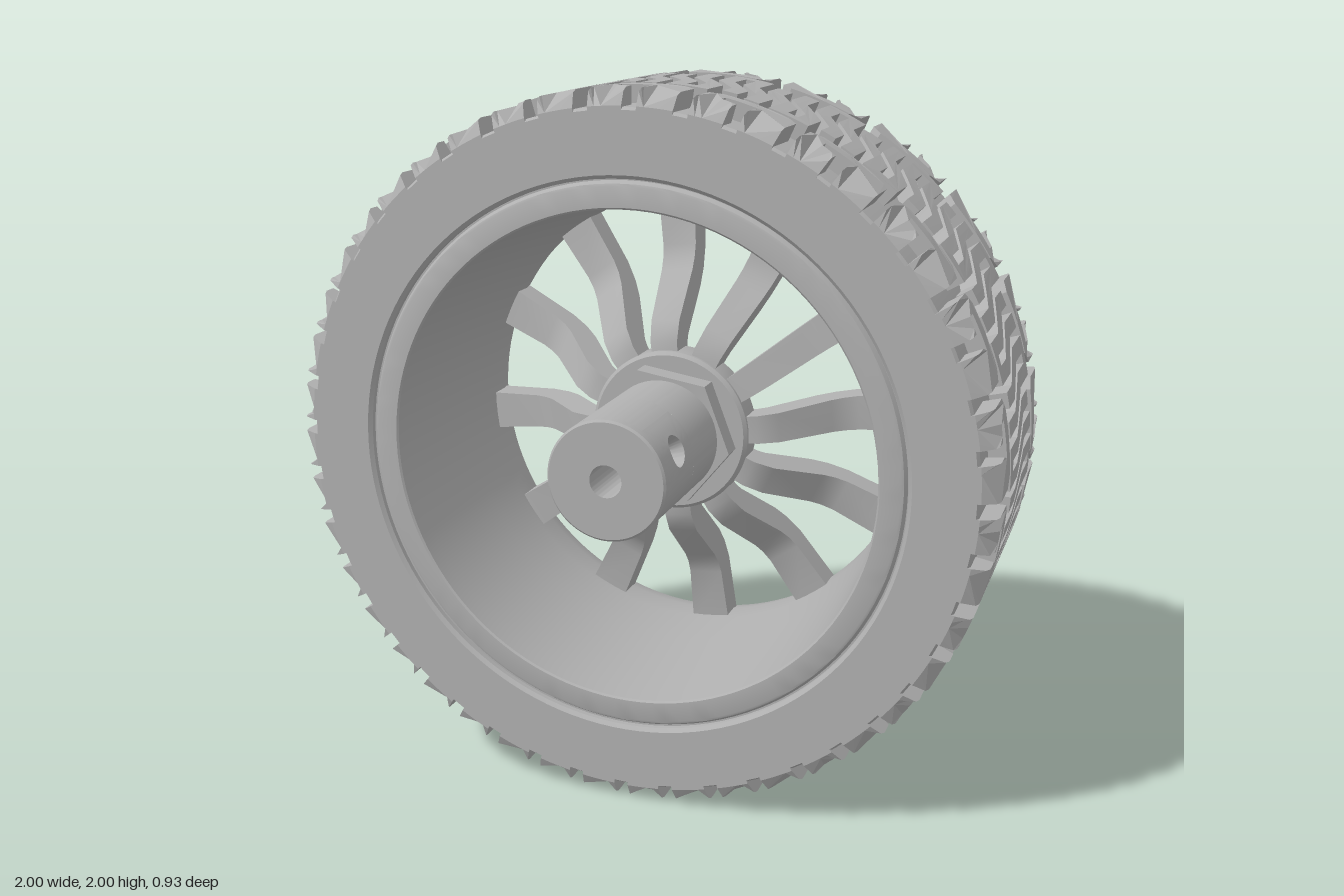
import * as THREE from 'three';
import { mergeGeometries, toCreasedNormals } from 'three/addons/utils/BufferGeometryUtils.js';
import { ParametricGeometry } from 'three/addons/geometries/ParametricGeometry.js';

const PITCHES = 22;
const PITCH = (2 * Math.PI) / PITCHES; // arc length of one tread repeat at radius 1
const MID = -0.07;                     // axial middle of the tyre

// Surface of revolution about z from (radius, z) points
function turned(points, start = 0, length = Math.PI * 2) {
  const geo = new THREE.LatheGeometry(points.map(([r, z]) => new THREE.Vector2(r, z)), 120, start, length);
  geo.rotateX(Math.PI / 2);
  return toCreasedNormals(geo, 0.5);
}

// Outline of a polyline thickened to a constant width with mitred corners
function stroke(path, width) {
  const pts = path.map(([x, y]) => new THREE.Vector2(x, y));
  const left = [], right = [];
  pts.forEach((p, i) => {
    const next = pts[i + 1], prev = pts[i - 1];
    const d1 = (prev ? p.clone().sub(prev) : next.clone().sub(p)).normalize();
    const d2 = (next ? next.clone().sub(p) : d1.clone()).normalize();
    const n1 = new THREE.Vector2(-d1.y, d1.x), n2 = new THREE.Vector2(-d2.y, d2.x);
    const m = n1.clone().add(n2).normalize();
    m.multiplyScalar(width / 2 / Math.max(0.5, m.dot(n1)));
    left.push([p.x + m.x, p.y + m.y]);
    right.unshift([p.x - m.x, p.y - m.y]);
  });
  return [...left, ...right];
}

// Split long outline edges so they can follow the curved tyre
function subdivide(outline, step) {
  const out = [];
  outline.forEach(([x, y], i) => {
    const [x2, y2] = outline[(i + 1) % outline.length];
    const n = Math.max(1, Math.ceil(Math.hypot(x2 - x, y2 - y) / step));
    for (let k = 0; k < n; k++) out.push(new THREE.Vector2(x + (x2 - x) * k / n, y + (y2 - y) * k / n));
  });
  return out;
}

// Tread block: outline in (arc, z), extruded and wrapped round the tyre
function treadBlock(outline) {
  const shape = new THREE.Shape(subdivide(outline, 0.022));
  const geo = new THREE.ExtrudeGeometry(shape, { depth: 1, bevelEnabled: false });
  const pos = geo.attributes.position;
  for (let i = 0; i < pos.count; i++) {
    const a = pos.getX(i), z = pos.getY(i);
    const d = Math.min(0.045, Math.max(0, Math.abs(z - MID) - 0.35));
    const top = 0.955 + Math.sqrt(0.045 * 0.045 - d * d);
    const r = pos.getZ(i) > 0.5 ? top : 0.94;
    pos.setXYZ(i, r * Math.cos(a), r * Math.sin(a), z);
  }
  geo.computeVertexNormals();
  return geo;
}

function treadGeometry() {
  // Four zigzag columns per repeat, joined in pairs as hairpins
  const q = PITCH / 4, w = 0.043;
  const column = (k, lo, hi) => [[k * q, lo], [k * q, 0], [k * q + 0.075, -0.12], [k * q + 0.075, hi]];
  const outlines = [
    stroke([...column(0, 0.108, -0.255).reverse(), ...column(1, 0.108, -0.22)], w),
    stroke([...column(2, 0.125, -0.255), ...column(3, 0.09, -0.255).reverse()], w),
  ];
  // Shoulder hook, repeated mirrored on the far edge
  const hook = [
    [0, 0.325], [0, 0.175], [0.03, 0.15], [0.21, 0.15], [0.243, 0.178], [0.243, 0.325],
    [0.145, 0.325], [0.145, 0.25], [0.19, 0.235], [0.19, 0.2], [0.09, 0.2], [0.103, 0.235], [0.103, 0.325],
  ];
  outlines.push(hook, hook.map(([a, z]) => [0.18 - a, 2 * MID - z]));
  const unit = mergeGeometries(outlines.map(treadBlock));
  const copies = [];
  for (let i = 0; i < PITCHES; i++) copies.push(unit.clone().rotateZ(i * PITCH));
  return mergeGeometries(copies);
}

// Spoke: bent side profile whose width grows towards the rim
function spokeGeometry() {
  const path = [[0.17, -0.1], [0.25, -0.1], [0.29, -0.12], [0.41, -0.25], [0.45, -0.28], [0.5, -0.3], [0.68, -0.315]];
  const shape = new THREE.Shape(stroke(path, 0.09).map(([r, z]) => new THREE.Vector2(r, z)));
  const geo = new THREE.ExtrudeGeometry(shape, { depth: 1, bevelEnabled: false });
  geo.translate(0, 0, -0.5);
  const pos = geo.attributes.position;
  for (let i = 0; i < pos.count; i++) {
    pos.setZ(i, pos.getZ(i) * (0.06 + 0.08 * pos.getX(i)));
  }
  geo.rotateX(Math.PI / 2);
  return toCreasedNormals(geo, 0.6);
}

// Square patch of the boss wall with a round cross hole running inwards
function crossHoleGeometry(radius, angle, zMid, half, hole) {
  const geo = new ParametricGeometry((u, v, target) => {
    const a = u * Math.PI * 2, c = Math.cos(a), s = Math.sin(a);
    const edge = half / Math.max(Math.abs(c), Math.abs(s));
    const t = Math.min(1, v * 2), depth = Math.max(0, v * 2 - 1) * 0.12;
    const k = edge + (hole - edge) * t;
    const theta = angle + k * c / radius, r = radius - depth;
    target.set(r * Math.cos(theta), r * Math.sin(theta), zMid + k * s);
  }, 64, 8);
  return toCreasedNormals(geo, 0.6);
}

export function createModel() {
  const grey = new THREE.MeshStandardMaterial({ color: 0xb0b0b0 });
  grey.name = 'grey';
  const model = new THREE.Group();
  model.name = 'wheel';
  const wheel = new THREE.Group();
  wheel.name = 'wheelAssembly';
  wheel.position.y = 1;
  model.add(wheel);
  const add = (name, geo, parent = wheel) => {
    const mesh = new THREE.Mesh(geo, grey);
    mesh.name = name;
    parent.add(mesh);
    return mesh;
  };

  // Tyre
  add('tyreCarcass', turned([
    [0.775, -0.46], [0.785, -0.465], [0.945, -0.465], [0.952, -0.455], [0.952, 0.315],
    [0.945, 0.325], [0.78, 0.325], [0.77, 0.315], [0.77, -0.455], [0.775, -0.46],
  ]));
  add('tyreTread', treadGeometry());

  // Rim barrel with front lip and flared back
  add('rim', turned([
    [0.78, -0.44], [0.78, 0.3], [0.765, 0.3], [0.757, 0.312], [0.75, 0.315], [0.695, 0.315], [0.69, 0.31],
    [0.688, 0.26], [0.672, -0.1], [0.66, -0.25], [0.66, -0.33], [0.67, -0.38], [0.69, -0.415],
    [0.715, -0.438], [0.735, -0.447], [0.755, -0.447], [0.765, -0.44], [0.78, -0.44],
  ]));

  // Spokes
  const spokes = new THREE.Group();
  spokes.name = 'spokes';
  wheel.add(spokes);
  const spoke = spokeGeometry();
  for (let i = 0; i < 12; i++) {
    add('spoke', spoke, spokes).rotation.z = THREE.MathUtils.degToRad(5 + 30 * i);
  }

  // Hub flange
  add('hubFlange', turned([
    [0.08, -0.16], [0.2, -0.16], [0.225, -0.15], [0.235, -0.13], [0.235, -0.045], [0.225, -0.035], [0.1, -0.035],
  ]));

  // Hexagonal drive nut
  const hex = new THREE.Shape();
  for (let i = 0; i < 6; i++) {
    const a = THREE.MathUtils.degToRad(-9 + 60 * i);
    hex[i ? 'lineTo' : 'moveTo'](0.205 * Math.cos(a), 0.205 * Math.sin(a));
  }
  hex.holes.push(new THREE.Path().absarc(0, 0, 0.12, 0, Math.PI * 2, true));
  add('hexNut', new THREE.ExtrudeGeometry(hex, { depth: 0.08, bevelEnabled: false }).translate(0, 0, -0.05));

  // Boss with bore and cross hole
  const R = 0.167, angle = 0.39, half = 0.1, zMid = 0.335, span = half / R;
  const z0 = zMid - half, z1 = zMid + half;
  add('bossBase', turned([[R, -0.05], [R, z0]]));
  add('bossWall', turned([[R, z0], [R, z1]], angle + span + Math.PI / 2, Math.PI * 2 - 2 * span));
  add('bossCrossHole', crossHoleGeometry(R, angle, zMid, half, 0.045));
  add('bossEndAndBore', turned([
    [R, z1], [R, 0.459], [0.161, 0.465], [0.045, 0.465], [0.045, -0.13], [0.08, -0.13], [0.08, -0.16],
  ]));
  return model;
}
